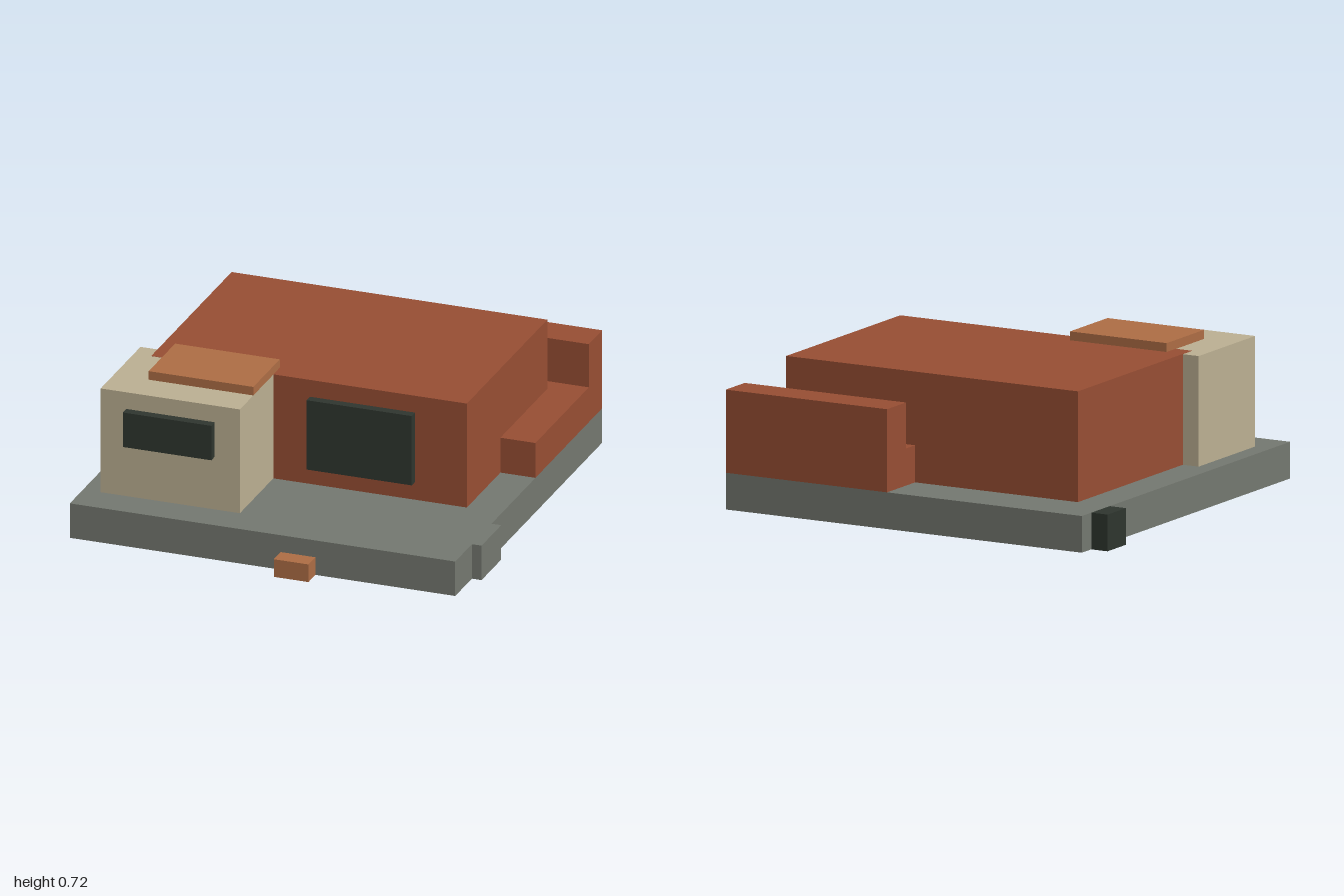
import * as THREE from 'three';

const mat = (name, color) => {
  const m = new THREE.MeshStandardMaterial({ color });
  m.name = name;
  return m;
};

export function createModel() {
  const brick = mat('brick red', 0x964d33);
  const stone = mat('stone grey', 0x73776f);
  const sand = mat('sand', 0xbaae91);
  const copper = mat('copper', 0xac6c44);
  const dark = mat('dark glass', 0x2e352e);

  const model = new THREE.Group();
  model.name = 'house';

  // Box given by its extents along x, y and z
  const block = (name, material, [x0, x1], [y0, y1], [z0, z1]) => {
    const geometry = new THREE.BoxGeometry(x1 - x0, y1 - y0, z1 - z0);
    const mesh = new THREE.Mesh(geometry, material);
    mesh.name = name;
    mesh.position.set((x0 + x1) / 2, (y0 + y1) / 2, (z0 + z1) / 2);
    model.add(mesh);
  };

  // Base slab and the pieces attached to its edges
  block('baseSlab', stone, [-0.915, 0.953], [0, 0.17], [-0.98, 0.892]);
  block('sideLanding', stone, [0.953, 1], [0, 0.17], [0.43, 0.68]);
  block('frontStep', copper, [0.107, 0.275], [0, 0.087], [0.892, 0.98]);
  block('sideBox', dark, [-1, -0.915], [0, 0.17], [-0.895, -0.73]);

  // Main volume and the front room, whose roof sits a hair lower where they overlap
  block('mainVolume', brick, [-0.747, 0.783], [0.17, 0.683], [-0.728, 0.297]);
  block('frontRoom', sand, [-0.83, -0.155], [0.17, 0.682], [0.215, 0.723]);
  block('roofPlate', copper, [-0.662, -0.155], [0.682, 0.724], [0.215, 0.552]);

  // Windows
  block('largeWindow', dark, [0.022, 0.532], [0.258, 0.6], [0.297, 0.34]);
  block('smallWindow', dark, [-0.706, -0.277], [0.43, 0.6], [0.723, 0.767]);

  // Low rear extension with a taller back wall
  block('rearExtension', brick, [0.107, 0.953], [0.17, 0.342], [-0.81, -0.13]);
  block('backWall', brick, [0.107, 0.953], [0.17, 0.555], [-0.98, -0.81]);

  return model;
}
